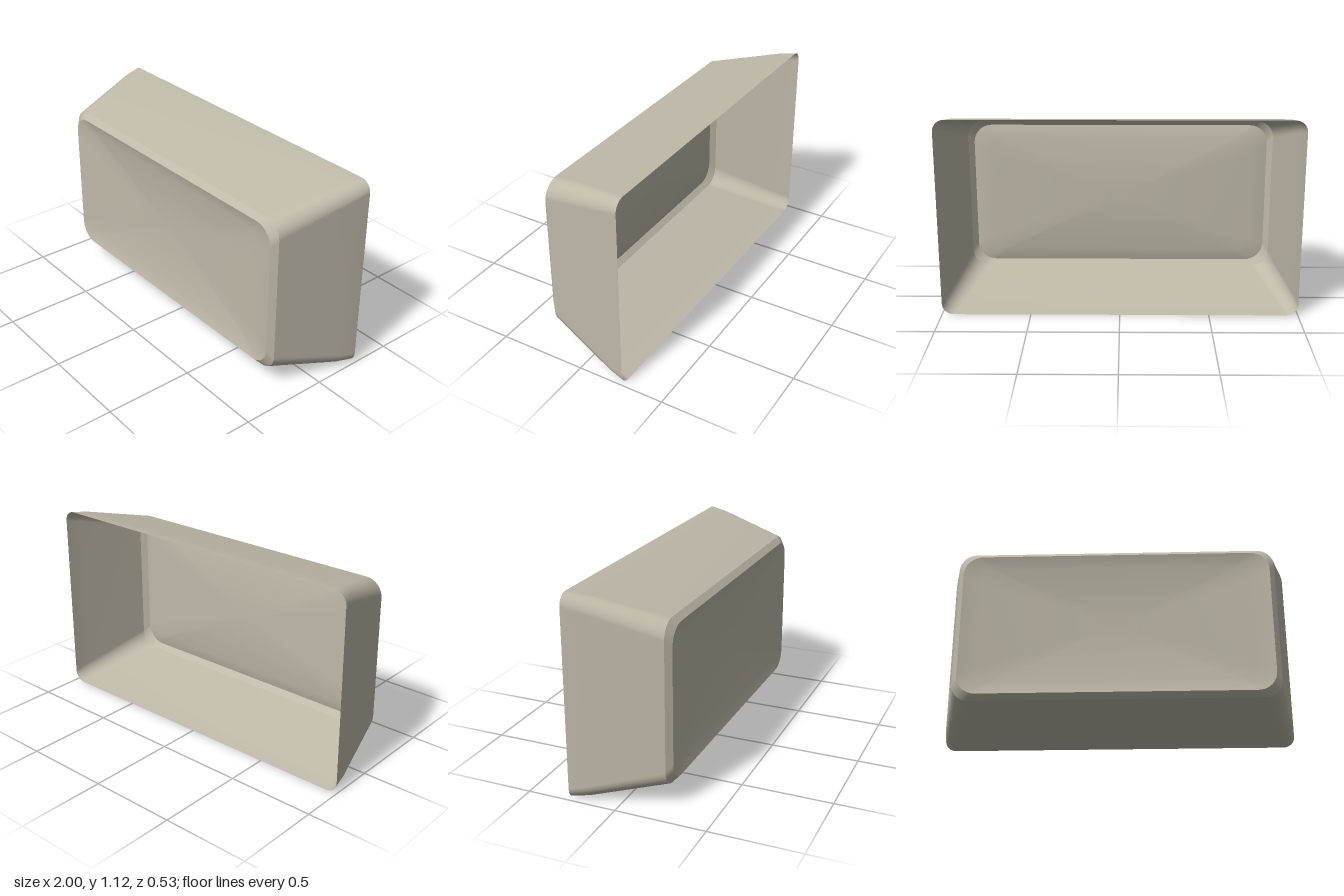
import * as THREE from 'three';

const CENTER_Y = 0.558;
const CORNER_STEPS = 8;

// Rounded rectangle loop, counter-clockwise seen from the front
function loop(hw, hh, r, z) {
  const pts = [];
  [[1, 1], [-1, 1], [-1, -1], [1, -1]].forEach(([sx, sy], q) => {
    for (let i = 0; i <= CORNER_STEPS; i++) {
      const a = (q + i / CORNER_STEPS) * Math.PI / 2;
      pts.push([sx * (hw - r) + r * Math.cos(a), CENTER_Y + sy * (hh - r) + r * Math.sin(a), z]);
    }
  });
  return pts;
}

// Skin between successive loops (back to front), optionally closed by a centre point
function loft(loops, tip) {
  const n = loops[0].length, index = [];
  const pos = loops.flat(2);
  for (let k = 0; k < loops.length - 1; k++) {
    for (let i = 0; i < n; i++) {
      const j = (i + 1) % n, a = k * n + i, b = k * n + j;
      index.push(a, b, b + n, a, b + n, a + n);
    }
  }
  if (tip) {
    const c = pos.length / 3, base = (loops.length - 1) * n;
    pos.push(...tip);
    for (let i = 0; i < n; i++) index.push(base + i, base + (i + 1) % n, c);
  }
  const g = new THREE.BufferGeometry();
  g.setAttribute('position', new THREE.Float32BufferAttribute(pos, 3));
  g.setIndex(index);
  g.computeVertexNormals();
  return g;
}

export function createModel() {
  const group = new THREE.Group();
  group.name = 'openBackedHousing';
  const shell = new THREE.MeshStandardMaterial({ color: 0xbfb9a9, side: THREE.DoubleSide });
  shell.name = 'warm grey';

  const back = loop(1.0, 0.558, 0.065, -0.263);
  const bend = loop(0.985, 0.545, 0.075, -0.17);
  const shoulder = loop(0.888, 0.446, 0.095, 0.233);
  const rim = loop(0.858, 0.416, 0.105, 0.263);
  const dish = loop(0.76, 0.345, 0.09, 0.243);

  const add = (name, geometry) => {
    const mesh = new THREE.Mesh(geometry, shell);
    mesh.name = name;
    group.add(mesh);
  };

  // Tapered side walls, open at the back
  add('taperedWalls', loft([back, bend, shoulder]));
  // Bevel around the front edge
  add('frontBevel', loft([shoulder, rim]));
  // Shallow concave front panel
  add('concaveFrontPanel', loft([rim, dish], [0, CENTER_Y, 0.213]));
  return group;
}
